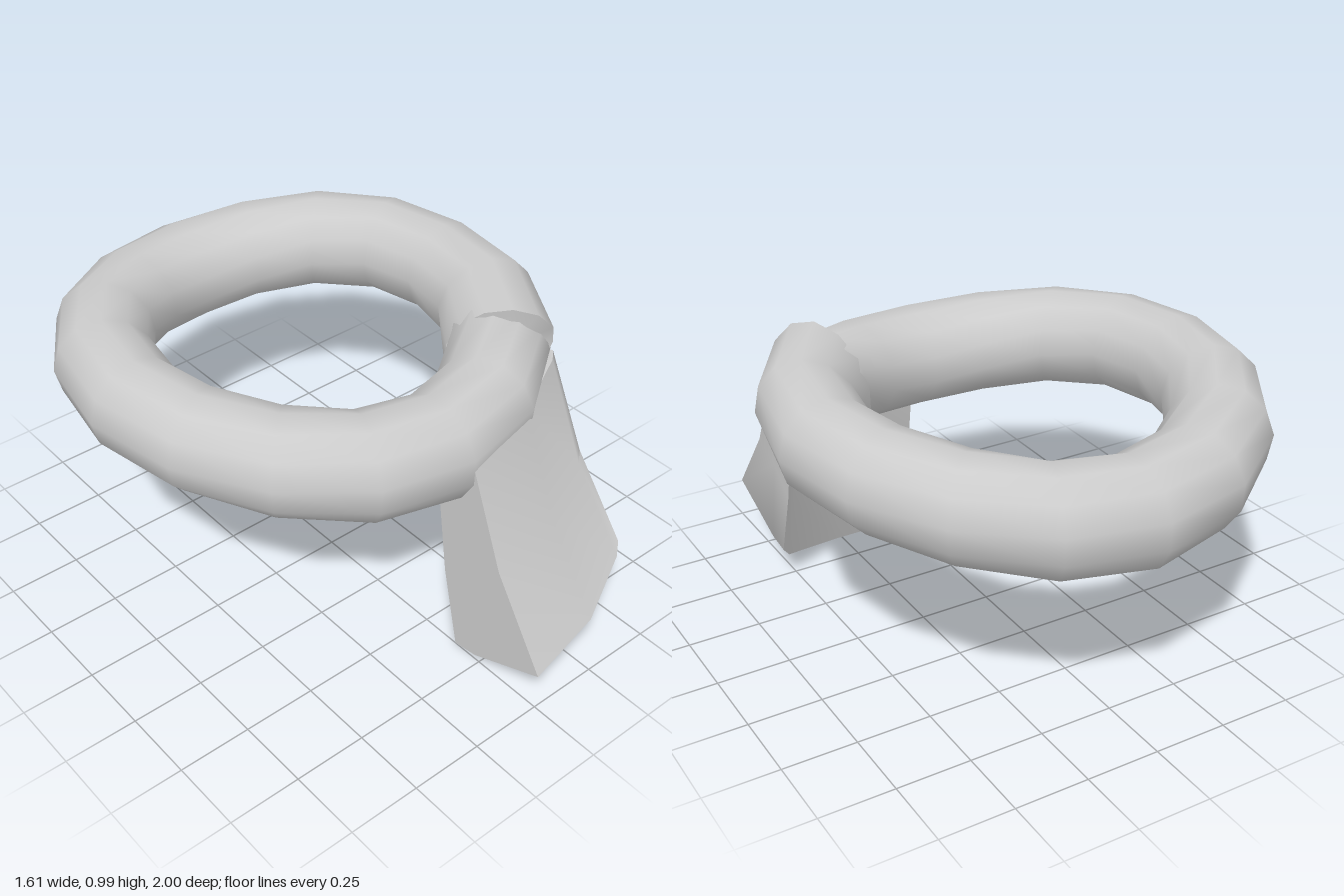
import * as THREE from 'three';
import { toCreasedNormals } from 'three/addons/utils/BufferGeometryUtils.js';

const material = new THREE.MeshStandardMaterial({ color: 0xcccccc });

// Skin a list of equal-length point loops and close both ends with fans
function loft(sections, crease) {
  const n = sections[0].length;
  const pos = [];
  const tri = (...pts) => pts.forEach((p) => pos.push(p.x, p.y, p.z));
  for (let i = 0; i < sections.length - 1; i++) {
    const a = sections[i], b = sections[i + 1];
    for (let j = 0; j < n; j++) {
      const k = (j + 1) % n;
      tri(a[j], b[j], a[k]);
      tri(a[k], b[j], b[k]);
    }
  }
  const centre = (s) => s.reduce((c, p) => c.add(p), new THREE.Vector3()).divideScalar(n);
  const first = sections[0], last = sections[sections.length - 1];
  const c0 = centre(first), c1 = centre(last);
  for (let j = 0; j < n; j++) {
    const k = (j + 1) % n;
    tri(c0, first[j], first[k]);
    tri(c1, last[k], last[j]);
  }
  const geometry = new THREE.BufferGeometry();
  geometry.setAttribute('position', new THREE.Float32BufferAttribute(pos, 3));
  return toCreasedNormals(geometry, crease);
}

// One 12-sided section of the ring at angle t (0 = front, growing towards +x)
function ringSection(t, { lift = 0, lean = 0, sag = 0, thickness = 0.163 } = {}) {
  const drop = Math.pow(Math.abs(Math.cos(t)), 3);
  const radius = thickness + 0.012 * drop;
  const loop = [];
  for (let j = 0; j < 12; j++) {
    const a = (j / 12) * Math.PI * 2 + 0.25 * drop;
    const s = Math.sin(a);
    const out = radius * Math.cos(a) + lean * 0.05 * s;
    const angle = t - lean * 0.1 * Math.abs(s);
    loop.push(new THREE.Vector3(
      (0.64 + out) * Math.sin(angle),
      0.82 - 0.08 * drop + lift + radius * s * (s < 0 ? 1 + sag : 1),
      -0.165 + (0.665 + out) * Math.cos(angle)
    ));
  }
  return loop;
}

export function createModel() {
  const group = new THREE.Group();
  const add = (name, geometry) => {
    const mesh = new THREE.Mesh(geometry, material);
    mesh.name = name;
    group.add(mesh);
  };

  // Neck loop: starts with a raised end sagging onto the hanging part,
  // goes round the back and tucks into its own start
  const special = {
    2: { lift: 0.035, lean: 1, sag: 0.4 },
    3: { lift: 0.015, lean: 0.3, sag: 0.1 },
    18: { lift: 0.01 },
    19: { thickness: 0.12 },
  };
  const ring = [];
  for (let i = 2; i <= 19; i++) ring.push(ringSection(i * Math.PI / 8, special[i]));
  add('neckLoop', loft(ring, 0.9));

  // Hanging end: a (z, y) profile swept sideways, receding with the loop
  const profile = [
    [0.64, 0], [0.73, 0.015], [1, 0.135], [0.8, 0.43], [0.65, 0.79],
    [0.52, 0.76], [0.52, 0.6], [0.57, 0.28],
  ];
  const stations = [[0, 0, 0], [0.29, -0.05, 0.03], [0.53, -0.16, 0.09], [0.56, -0.185, 0.13]];
  add('hangingEnd', loft(stations.map(([x, dz, dy]) => profile.map(([z, y]) =>
    // the hem rises towards the side while the top follows the loop
    new THREE.Vector3(x, y + dy * (1 - y), z + dz * (1 + 0.15 * y)))), 1.25));

  return group;
}
